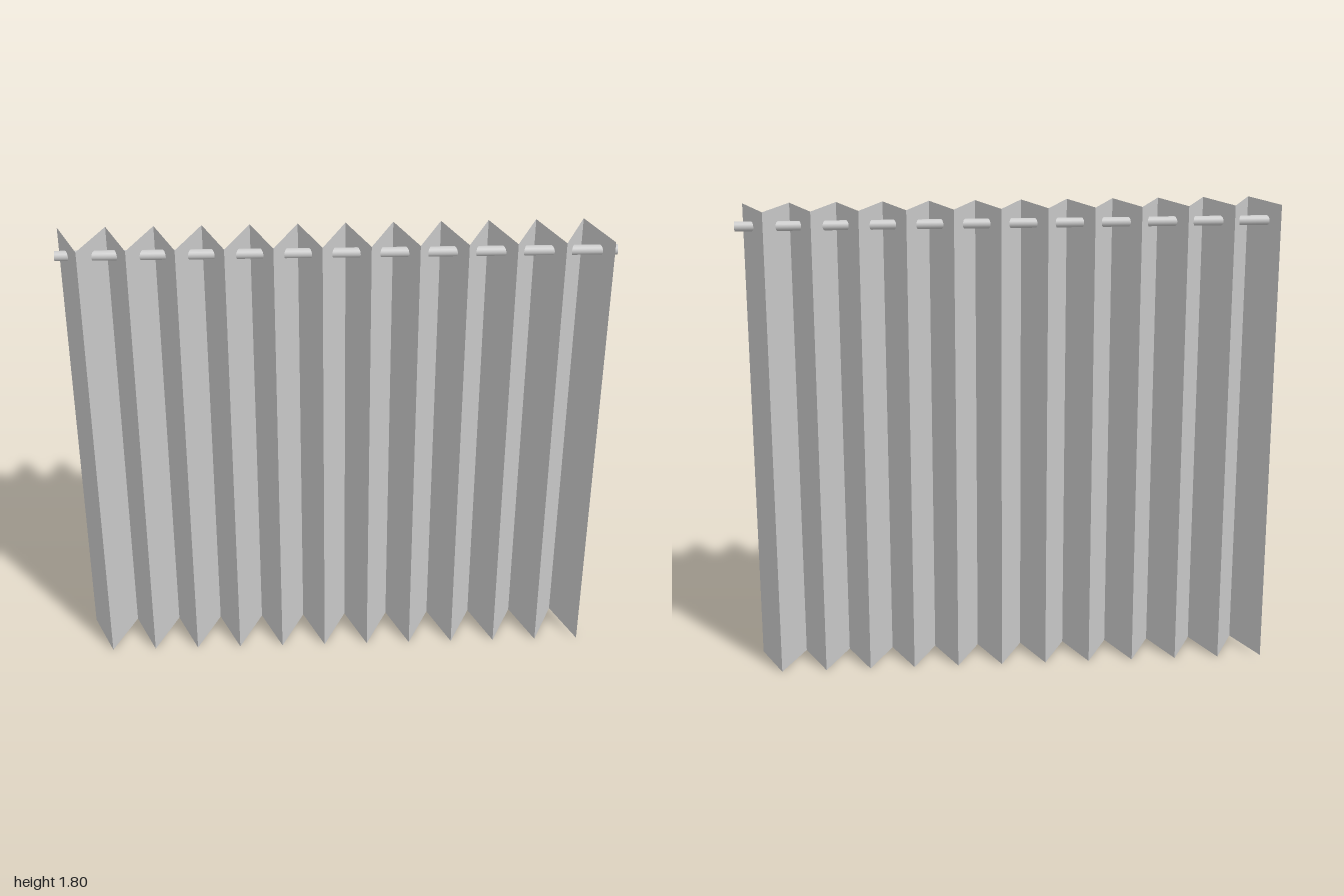
import * as THREE from 'three';

const HEIGHT = 1.8;
const PANELS = 23;

// Zigzag fold line; the pleats drift slightly backwards towards +x
function foldPoint(i) {
  const x = -0.995 + i * 0.0857;
  const z = (i % 2 ? 0.097 : -0.097) + 0.013 - i * 0.0012;
  return [x, z];
}

// Pleated sheet: one flat quad per panel, unshared corners for crisp folds
function pleatedSheet() {
  const positions = [];
  for (let i = 0; i < PANELS; i++) {
    const [x0, z0] = foldPoint(i);
    const [x1, z1] = foldPoint(i + 1);
    positions.push(x0, 0, z0, x1, 0, z1, x1, HEIGHT, z1);
    positions.push(x0, 0, z0, x1, HEIGHT, z1, x0, HEIGHT, z0);
  }
  const geometry = new THREE.BufferGeometry();
  geometry.setAttribute('position', new THREE.Float32BufferAttribute(positions, 3));
  geometry.computeVertexNormals();
  return geometry;
}

export function createModel() {
  const group = new THREE.Group();
  group.name = 'pleatedCurtain';

  const curtain = new THREE.Mesh(
    pleatedSheet(),
    new THREE.MeshStandardMaterial({ color: 0xcccccc, side: THREE.DoubleSide, flatShading: true })
  );
  curtain.name = 'curtain';
  group.add(curtain);

  // Rod threaded through the pleats near the top
  const rod = new THREE.Mesh(
    new THREE.CylinderGeometry(0.018, 0.018, 2, 24).rotateZ(Math.PI / 2),
    new THREE.MeshStandardMaterial({ color: 0xcccccc })
  );
  rod.name = 'rod';
  rod.position.set(0, 1.73, -0.002);
  group.add(rod);

  return group;
}
